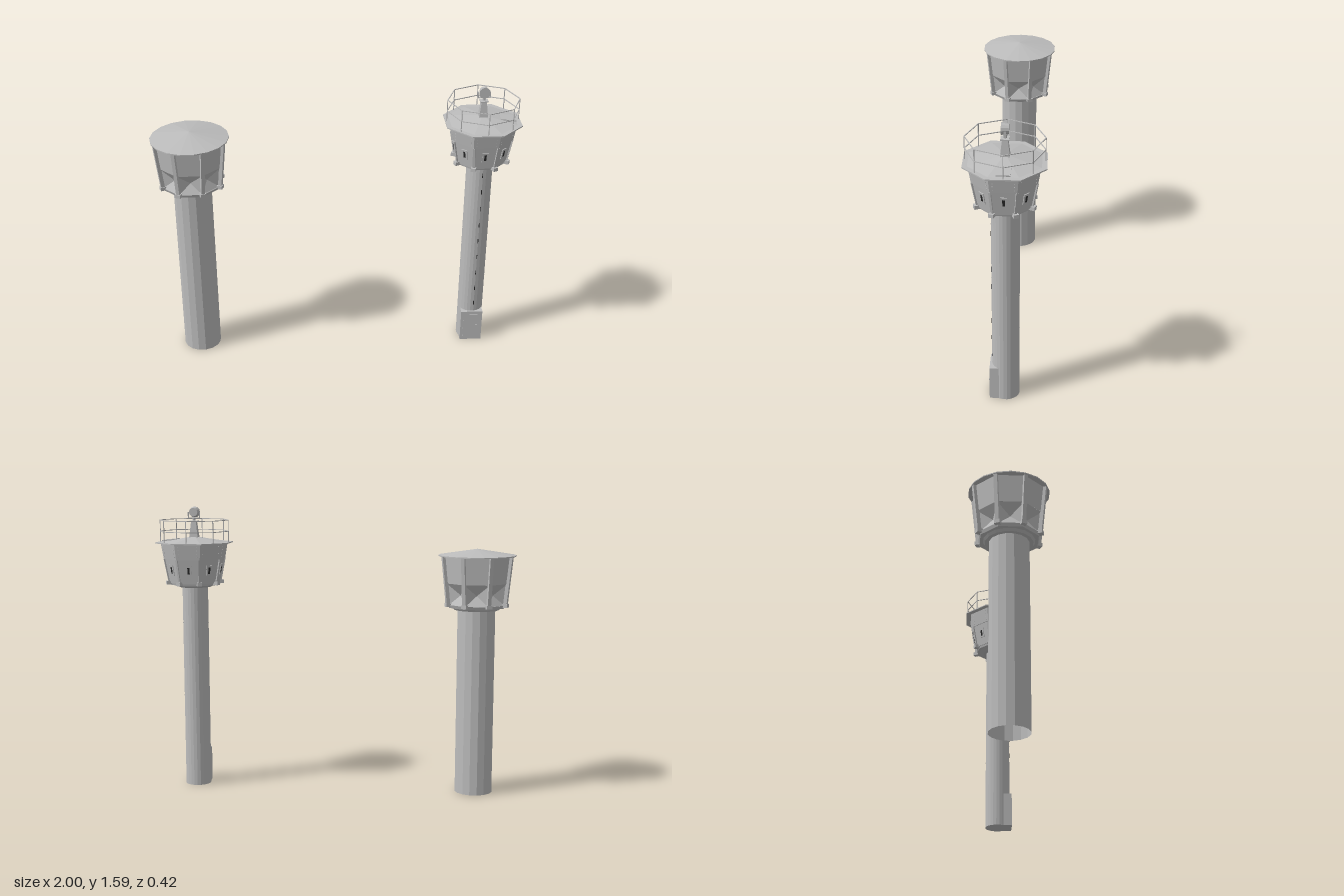
import * as THREE from 'three';

const concrete = new THREE.MeshStandardMaterial({ color: 0xbdbdbd, flatShading: true, side: THREE.DoubleSide });
concrete.name = 'concrete grey';
const slitDark = new THREE.MeshStandardMaterial({ color: 0x2a2a2a });
slitDark.name = 'window dark';

function add(parent, name, geo, x = 0, y = 0, z = 0, mat = concrete) {
  const m = new THREE.Mesh(geo, mat);
  m.name = name;
  m.position.set(x, y, z);
  parent.add(m);
  return m;
}

// Frustum between two heights; eight-sided ones take apothems and face the front flat
function frustum(parent, name, rb, rt, y0, y1, sides = 8, open = false) {
  const k = sides === 8 ? 1 / Math.cos(Math.PI / 8) : 1;
  const geo = new THREE.CylinderGeometry(rt * k, rb * k, y1 - y0, sides, 1, open);
  geo.rotateY(Math.PI / sides);
  return add(parent, name, geo, 0, (y0 + y1) / 2);
}

// Beam leaning in the radial plane, from (r0, y0) to (r1, y1)
function beam(parent, name, r0, y0, r1, y1, w, d) {
  const len = Math.hypot(r1 - r0, y1 - y0);
  const m = add(parent, name, new THREE.BoxGeometry(w, len, d), 0, (y0 + y1) / 2, (r0 + r1) / 2);
  m.rotation.x = Math.atan2(r1 - r0, y1 - y0);
  return m;
}

// Repeat something eight times around the axis
function around(parent, name, offset, build) {
  for (let i = 0; i < 8; i++) {
    const g = new THREE.Group();
    g.name = name;
    g.rotation.y = (i + offset) * Math.PI / 4;
    parent.add(g);
    build(g, i);
  }
}

// One bay of the pinched lower wall: four triangles meeting at an inner point
function pinchedBay() {
  const s = Math.sin(Math.PI / 8), c = Math.cos(Math.PI / 8);
  const R1 = 0.178, R0 = 0.165, yT = 1.18, yB = 1.06;
  const tl = [-R1 * s, yT, R1 * c], tr = [R1 * s, yT, R1 * c];
  const bl = [-R0 * s, yB, R0 * c], br = [R0 * s, yB, R0 * c];
  const m = [0, 1.118, 0.122];
  const geo = new THREE.BufferGeometry();
  const tris = [tl, m, tr, bl, br, m, tl, bl, m, tr, m, br];
  geo.setAttribute('position', new THREE.Float32BufferAttribute(tris.flat(), 3));
  geo.computeVertexNormals();
  return geo;
}

function wideTower() {
  const t = new THREE.Group();
  t.name = 'wideTower';
  frustum(t, 'shaft', 0.105, 0.105, 0, 1.04, 16, true);
  frustum(t, 'lowerCollar', 0.125, 0.135, 1.032, 1.045, 16);
  frustum(t, 'deck', 0.148, 0.155, 1.045, 1.062);
  frustum(t, 'upperWall', 0.165, 0.18, 1.18, 1.328, 8, true);
  frustum(t, 'roofEdge', 0.213, 0.213, 1.326, 1.332, 18);
  frustum(t, 'roof', 0.213, 0.0005, 1.332, 1.366, 18);
  around(t, 'bay', 0, g => add(g, 'pinchedWall', pinchedBay()));
  around(t, 'corner', 0.5, g => {
    beam(g, 'column', 0.168, 1.06, 0.197, 1.328, 0.02, 0.02);
    add(g, 'columnFoot', new THREE.BoxGeometry(0.03, 0.02, 0.03), 0, 1.062, 0.168);
  });
  return t;
}

function railing(parent) {
  const R = 0.195, step = 2 * R * Math.sin(Math.PI / 8), ap = R * Math.cos(Math.PI / 8);
  around(parent, 'railPost', 0, g =>
    add(g, 'post', new THREE.BoxGeometry(0.004, 0.122, 0.004), 0, 1.454, R));
  around(parent, 'railSide', 0.5, g => {
    for (const y of [1.452, 1.514])
      add(g, 'rail', new THREE.BoxGeometry(step, 0.004, 0.004), 0, y, ap);
  });
}

function searchlight(parent) {
  const mast = add(parent, 'mast', new THREE.CylinderGeometry(0.02, 0.036, 0.1, 4), 0, 1.455, 0);
  mast.rotation.y = Math.PI / 4;
  add(parent, 'mastCap', new THREE.BoxGeometry(0.044, 0.006, 0.044), 0, 1.507, 0);
  add(parent, 'pivot', new THREE.CylinderGeometry(0.008, 0.008, 0.02, 8), 0, 1.519, 0);
  for (const s of [-1, 1])
    add(parent, 'yokeArm', new THREE.BoxGeometry(0.004, 0.034, 0.012), s * 0.032, 1.541, 0);
  add(parent, 'yokeBase', new THREE.BoxGeometry(0.066, 0.004, 0.012), 0, 1.526, 0);
  const drum = add(parent, 'lampDrum', new THREE.CylinderGeometry(0.031, 0.024, 0.038, 12), 0, 1.558, 0);
  drum.rotation.x = Math.PI / 2;
}

function slimTower() {
  const t = new THREE.Group();
  t.name = 'slimTower';
  frustum(t, 'shaft', 0.072, 0.072, 0, 1.15, 24);
  // Thin seams between the shaft segments
  for (let i = 0; i < 10; i++) {
    const y = 0.2 + i * 0.105;
    frustum(t, 'seam', 0.0728, 0.0728, y - 0.001, y + 0.001, 24, true);
  }
  // Slits up the front of the shaft
  for (let i = 0; i < 9; i++)
    add(t, 'shaftSlit', new THREE.BoxGeometry(0.004, 0.028, 0.003), 0.008, 0.25 + i * 0.105, 0.0715, slitDark);
  // Entrance porch and door
  add(t, 'porch', new THREE.BoxGeometry(0.125, 0.195, 0.065), 0, 0.0975, 0.05);
  add(t, 'door', new THREE.BoxGeometry(0.095, 0.17, 0.004), 0, 0.088, 0.083);
  add(t, 'doorHandle', new THREE.BoxGeometry(0.012, 0.004, 0.004), 0.03, 0.1, 0.086);

  // Cabin
  frustum(t, 'lowerCollar', 0.09, 0.115, 1.14, 1.153, 24);
  frustum(t, 'deck', 0.125, 0.13, 1.153, 1.17);
  frustum(t, 'lowerCabin', 0.133, 0.157, 1.165, 1.3);
  frustum(t, 'upperCabin', 0.161, 0.175, 1.3, 1.388);
  frustum(t, 'eave', 0.203, 0.203, 1.386, 1.392);
  frustum(t, 'roof', 0.178, 0.02, 1.392, 1.42);
  around(t, 'cabinFace', 0, g => {
    const w = new THREE.Group();
    w.name = 'window';
    w.position.set(0, 1.24, 0.1465);
    w.rotation.x = Math.atan2(0.024, 0.135);
    g.add(w);
    add(w, 'windowFrame', new THREE.BoxGeometry(0.034, 0.06, 0.008), 0, 0, 0);
    add(w, 'windowSlit', new THREE.BoxGeometry(0.012, 0.036, 0.002), 0, 0, 0.0045, slitDark);
    // Rivets along both edges of the upper panel
    for (const s of [-1, 1]) for (let j = 0; j < 4; j++) {
      const y = 1.315 + j * 0.019, r = 0.161 + (y - 1.3) * 0.159;
      add(g, 'rivet', new THREE.BoxGeometry(0.004, 0.004, 0.003), s * 0.052, y, r);
    }
  });
  around(t, 'cabinCorner', 0.5, g => {
    beam(g, 'cornerRib', 0.145, 1.165, 0.171, 1.3, 0.012, 0.008);
    add(g, 'cornerFoot', new THREE.BoxGeometry(0.026, 0.02, 0.034), 0, 1.165, 0.145);
  });
  // Roof hatch
  const hatch = add(t, 'hatch', new THREE.BoxGeometry(0.085, 0.006, 0.07), 0.135, 1.403, 0);
  hatch.rotation.z = -0.1;
  railing(t);
  searchlight(t);
  return t;
}

export function createModel() {
  const model = new THREE.Group();
  model.name = 'twoTowers';
  const wide = wideTower(), slim = slimTower();
  wide.position.x = -0.787;
  slim.position.x = 0.795;
  model.add(wide, slim);
  return model;
}
